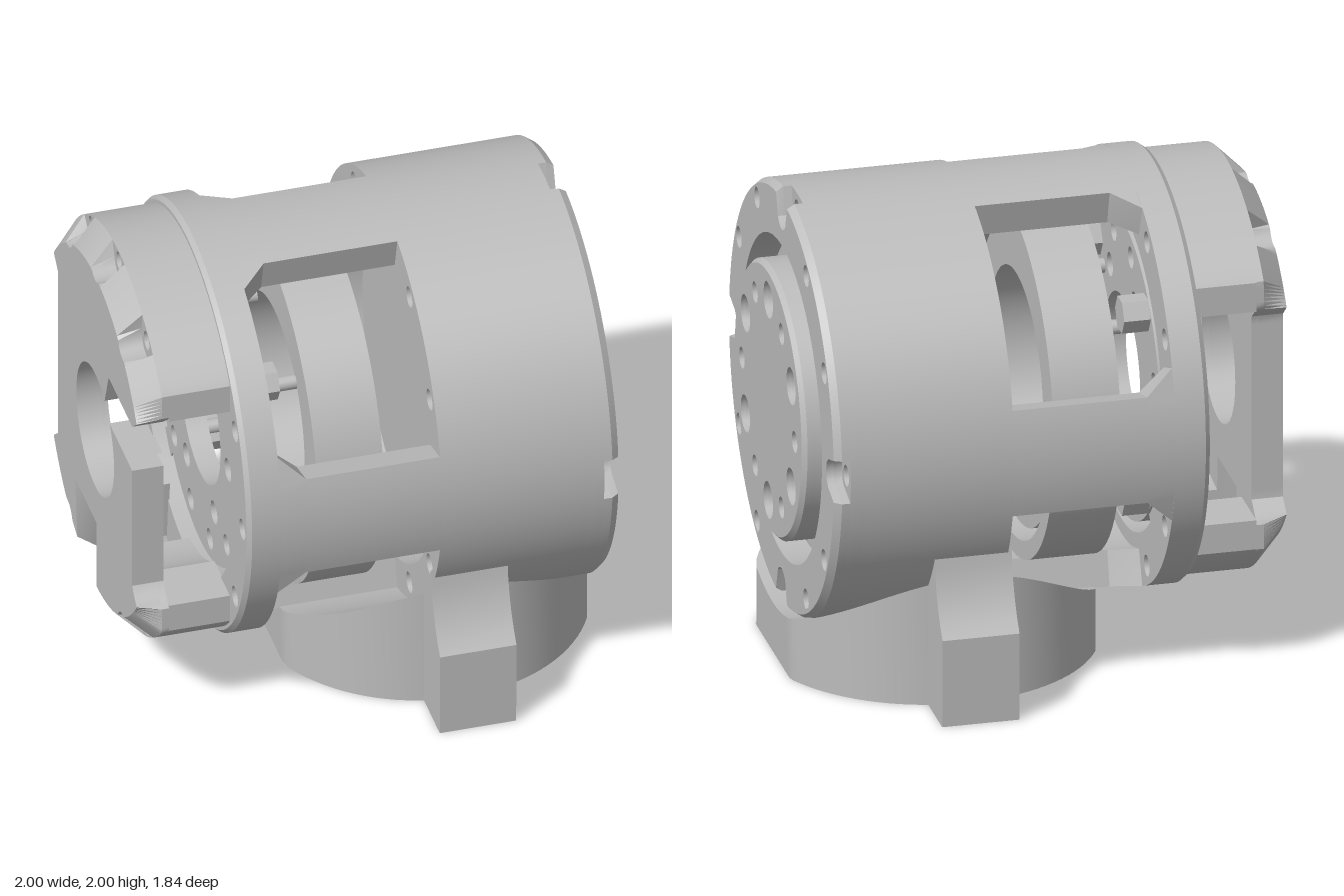
import * as THREE from 'three';
import { toCreasedNormals } from 'three/addons/utils/BufferGeometryUtils.js';

const AXIS_Y = 1.105;      // height of the horizontal main axis (along x)
const BOLT_R = 0.82;       // bolt circle of the housing
const rad = THREE.MathUtils.degToRad;
const steps = (n, start = 0) => Array.from({ length: n }, (_, i) => start + (i * 360) / n);
const polar = (r, deg) => new THREE.Vector2(r * Math.cos(rad(deg)), r * Math.sin(rad(deg)));

// points on an arc, ends included
function arc(r, a0, a1, step = 1.5) {
  const n = Math.max(1, Math.round(Math.abs(a1 - a0) / step));
  return Array.from({ length: n + 1 }, (_, i) => polar(r, a0 + ((a1 - a0) * i) / n));
}

// radius at an angle, with round counterbores biting into the rim
function bitten(r, deg, bites, b = 0.075) {
  for (const phi of bites) {
    const d = rad(((deg - phi + 540) % 360) - 180);
    const s = BOLT_R * Math.sin(d);
    if (Math.abs(d) < 0.3 && Math.abs(s) < b) return BOLT_R * Math.cos(d) - Math.sqrt(b * b - s * s);
  }
  return r;
}

const circle = (c, r, n = 24) => new THREE.Path(steps(n).map((a) => polar(r, a).add(c)));
const drill = (shape, angles, c, r) => {
  for (const a of angles) shape.holes.push(circle(polar(c, a), r));
  return shape;
};
function ring(outer, inner, bites = []) {
  const s = new THREE.Shape(steps(240).map((a) => polar(bitten(outer, a, bites), a)));
  if (inner) s.holes.push(circle(new THREE.Vector2(), inner, 120));
  return s;
}

export function createModel() {
  const model = new THREE.Group();
  const grey = new THREE.MeshStandardMaterial({ color: 0xbcbcbc, side: THREE.DoubleSide });
  grey.name = 'machined grey';

  function add(name, geo, parent = model) {
    const mesh = new THREE.Mesh(geo, grey);
    mesh.name = name;
    parent.add(mesh);
    return mesh;
  }
  // slab of a cross-section between two x positions; the rule edits (point, atStart)
  function slab(name, shape, x0, x1, rule) {
    const geo = new THREE.ExtrudeGeometry(shape, { depth: x1 - x0, bevelEnabled: false });
    if (rule) {
      const p = geo.attributes.position;
      for (let i = 0; i < p.count; i++) {
        const v = new THREE.Vector2(p.getX(i), p.getY(i));
        rule(v, p.getZ(i) < (x1 - x0) / 2);
        p.setXY(i, v.x, v.y);
      }
    }
    geo.rotateY(Math.PI / 2).translate(x0, AXIS_Y, 0);
    return add(name, toCreasedNormals(geo, 0.5));
  }
  const taper = (r, start) => (v, atStart) => {
    if (atStart === start && v.length() > r) v.setLength(r);
  };

  // --- housing: flange, four pillars between the windows, front barrel ---
  const twelve = steps(12);
  const quarters = steps(4);
  const offQuarters = twelve.filter((a) => a % 90);
  const bolted = (o, i) => drill(ring(o, i), twelve, BOLT_R, 0.045);
  slab('rearFlangeChamfer', bolted(0.895, 0.68), -0.615, -0.595, taper(0.88, true));
  slab('rearFlange', bolted(0.895, 0.68), -0.595, -0.47);
  for (const q of quarters) {
    const pillar = () => drill(new THREE.Shape([...arc(0.895, q - 15, q + 15), ...arc(0.745, q + 15, q - 15)]),
      [q], BOLT_R, 0.045);
    // pillar foot spreads to cut the window corners
    slab('pillarFoot', pillar(), -0.47, -0.36, (v, atStart) => {
      const d = ((THREE.MathUtils.radToDeg(v.angle()) - q + 540) % 360) - 180;
      if (atStart && Math.abs(d) > 14.5) v.rotateAround(new THREE.Vector2(), rad(7 * Math.sign(d)));
    });
    slab('pillar', pillar(), -0.36, 0.2);
  }
  slab('barrel', bolted(0.895, 0.745), 0.2, 0.82);
  slab('frontPlate', bolted(0.895, 0.675), 0.82, 0.88);
  const rim = () => drill(ring(0.895, 0.675, quarters), offQuarters, BOLT_R, 0.045);
  slab('frontRim', rim(), 0.88, 0.915);
  slab('frontRimChamfer', rim(), 0.915, 0.945, taper(0.875, false));

  // --- inside: stator ring, bearing, rear disc with tabs ---
  slab('statorRing', ring(0.745, 0.668), -0.28, 0);
  slab('bearingRing', ring(0.62, 0.45), -0.25, -0.03);
  slab('rearDisc', drill(drill(ring(0.635, 0.3), steps(12, 15), 0.55, 0.045), steps(6), 0.41, 0.05), -0.56, -0.47);
  for (const a of steps(4, 45)) {
    slab('discArm', new THREE.Shape([...arc(0.7, a - 5, a + 5), ...arc(0.62, a + 5, a - 5)]), -0.56, -0.48);
    const at = (r, c, n) => new THREE.Shape(steps(n).map((t) => polar(r, t).add(polar(c, a))));
    slab('hexBoss', at(0.078, 0.566, 6), -0.47, -0.36);
    slab('post', at(0.03, 0.435, 16), -0.47, -0.24);
  }

  // --- output hub at the front ---
  slab('outputHub', ring(0.64), 0.3, 0.84);
  const big = steps(6, 30), small = steps(6);
  slab('outputNeck', drill(ring(0.575), twelve, 0.44, 0.045), 0.84, 0.94);
  const cap = () => drill(drill(ring(0.575), big, 0.44, 0.078), small, 0.44, 0.045);
  slab('outputCap', cap(), 0.94, 0.98);
  slab('outputCapChamfer', cap(), 0.98, 1.0, taper(0.557, false));
  for (const a of twelve) {
    const p = polar(0.44, a);
    add('screwSlot', new THREE.BoxGeometry(0.06, 0.08, 0.03)).position.set(0.9, AXIS_Y + p.y, -p.x);
  }

  // --- rear cover: plate with bore, side gap and lower slot, on three legs ---
  const R = 0.865;
  const coverBolts = [60, 90, 120, 240, 300];
  const coverArc = (a0, a1, bites, waist) => arc(R, a0, a1).map((p) => {
    const deg = THREE.MathUtils.radToDeg(p.angle());
    p.setLength(bitten(R, deg, bites));
    const w = waist ? THREE.MathUtils.clamp(0.55 + (Math.abs(p.y) - 0.4) * 1.2, 0.55, 0.635) : 0.635;
    p.x = THREE.MathUtils.clamp(p.x, -w, w);
    return p;
  });
  const plate = (bites) => new THREE.Shape([
    ...coverArc(152.5, -69.7, bites, true),
    new THREE.Vector2(0.3, -0.45), new THREE.Vector2(-0.02, -0.45),
    ...coverArc(-91.5, -192, bites, true),
    ...arc(0.28, 140, 480, 5),
    new THREE.Vector2(-0.2, 0.4),
  ]);
  slab('coverFace', plate(coverBolts), -1, -0.9, taper(0.765, true));
  slab('coverPlate', drill(plate([]), coverBolts, BOLT_R, 0.04), -0.9, -0.87);
  const legs = [[32, 148, 50, 130, [60, 90, 120]], [-148, -91.5, -130, -92, [-120]], [-69.7, -32, -63, -50, [-60]]];
  for (const [a0, a1, b0, b1, bolts] of legs) {
    const s = new THREE.Shape([...coverArc(a0, a1, [], false), ...arc(0.6, b1, b0)]);
    slab('coverLeg', drill(s, bolts, BOLT_R, 0.04), -0.87, -0.61);
  }

  // --- base: round foot with flat ends, its top following the barrel ---
  const base = new THREE.Group();
  base.name = 'base';
  base.position.x = 0.345;
  model.add(base);
  const END = 0.637, FOOT_R = 0.7;
  const profile = [new THREE.Vector2(FOOT_R, 0)];
  for (let i = 14; i >= 0; i--) profile.push(new THREE.Vector2((FOOT_R * i) / 14, 1));
  const foot = new THREE.LatheGeometry(profile, 96);
  const fp = foot.attributes.position;
  for (let i = 0; i < fp.count; i++) {
    const z = fp.getZ(i);
    fp.setX(i, THREE.MathUtils.clamp(fp.getX(i), -END, END));
    if (fp.getY(i) > 0.5) fp.setY(i, AXIS_Y - Math.sqrt(0.89 * 0.89 - z * z));
  }
  add('foot', toCreasedNormals(foot, 0.5), base);
  const sole = new THREE.Shape(arc(FOOT_R, 0, 358, 2).map((p) => {
    p.x = THREE.MathUtils.clamp(p.x, -END, END);
    return p;
  }));
  drill(sole, steps(6, 30), 0.5, 0.032);
  add('sole', new THREE.ShapeGeometry(sole).rotateX(Math.PI / 2), base);
  for (const a of steps(6, 30)) {
    const p = polar(0.5, a);
    add('soleHole', new THREE.CylinderGeometry(0.032, 0.032, 0.15, 24, 1, true), base).position.set(p.x, 0.075, p.y);
  }

  // side lugs sweeping up into the barrel
  const lug = new THREE.Shape([[0.55, 0], [0.915, 0], [0.92, 0.38], [0.88, 0.43], [0.845, 0.49], [0.815, 0.56],
    [0.795, 0.64], [0.785, 0.72], [0.72, 0.61], [0.64, 0.5], [0.55, 0.418]].map(([z, y]) => new THREE.Vector2(z, y)));
  for (const side of [1, -1]) {
    const geo = toCreasedNormals(
      new THREE.ExtrudeGeometry(lug, { depth: 0.32, bevelEnabled: false })
        .translate(0, 0, -0.16).rotateY(-Math.PI / 2), 0.4);
    const mesh = add('sideLug', geo, base);
    mesh.rotation.y = side > 0 ? 0 : Math.PI;
  }
  return model;
}
